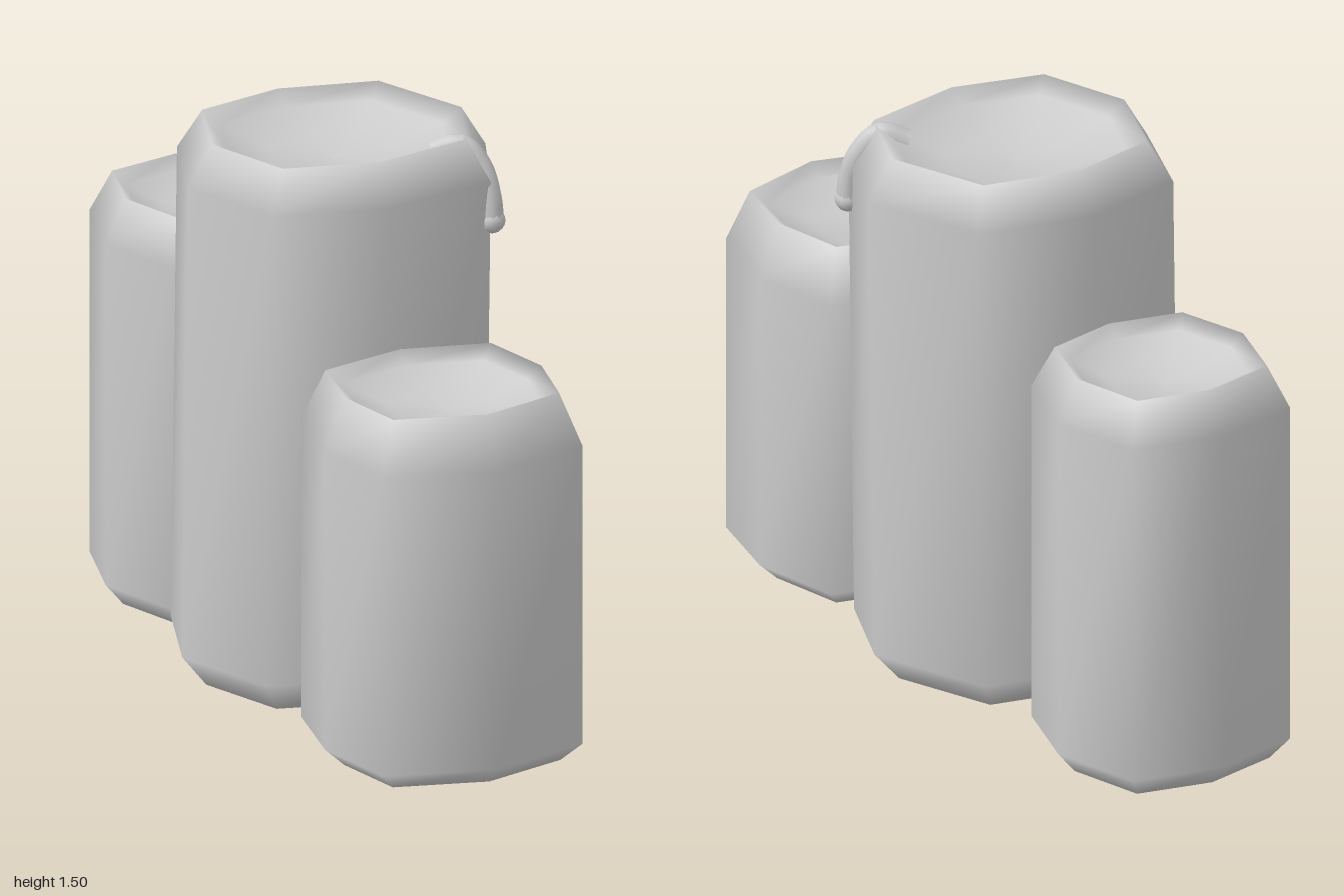
import * as THREE from 'three';

const material = new THREE.MeshStandardMaterial({ color: 0xcccccc });

// Eight-sided wax body lofted from scaled copies of its outline.
// rings: [scale, y], from bottom centre over the shoulder into the hollow top.
function waxBody(name, outline, centre, rings, lean = 0) {
  const n = outline.length, positions = [], index = [];
  const height = Math.max(...rings.map(r => r[1]));
  for (const [scale, y] of rings) {
    for (const [x, z] of outline) {
      positions.push(
        centre[0] + (x - centre[0]) * scale + lean * (y / height - 1),
        y,
        centre[1] + (z - centre[1]) * scale);
    }
  }
  for (let i = 0; i < rings.length - 1; i++) {
    for (let j = 0; j < n; j++) {
      const a = i * n + j, b = i * n + (j + 1) % n;
      index.push(b, a, a + n, b, a + n, b + n);
    }
  }
  const geometry = new THREE.BufferGeometry();
  geometry.setAttribute('position', new THREE.Float32BufferAttribute(positions, 3));
  geometry.setIndex(index);
  geometry.computeVertexNormals();
  const mesh = new THREE.Mesh(geometry, material);
  mesh.name = name;
  return mesh;
}

// Ring heights shared by all candles
function candleRings(bottom, bevel, shoulder, top, baseScale, rimScale, dip) {
  return [
    [0, bottom], [baseScale * 0.6, bottom], [baseScale, bottom],
    [1, bevel], [1, shoulder],
    [rimScale, top], [rimScale - 0.12, top - dip * 0.4],
    [rimScale * 0.5, top - dip * 0.9], [0, top - dip],
  ];
}

export function createModel() {
  const group = new THREE.Group();
  group.name = 'candles';

  group.add(waxBody('backCandle',
    [[-0.02, -1], [0.22, -0.945], [0.29, -0.7], [0.22, -0.465],
      [-0.02, -0.41], [-0.26, -0.465], [-0.335, -0.7], [-0.265, -0.945]],
    [-0.02, -0.705], candleRings(0, 0.06, 1.0, 1.115, 0.84, 0.82, 0.08)));

  group.add(waxBody('tallCandle',
    [[-0.02, -0.39], [0.29, -0.32], [0.42, 0], [0.31, 0.265],
      [-0.02, 0.335], [-0.31, 0.26], [-0.415, -0.03], [-0.31, -0.32]],
    [-0.01, -0.02], candleRings(0.015, 0.1, 1.39, 1.5, 0.83, 0.84, 0.09), 0.02));

  group.add(waxBody('frontCandle',
    [[-0.02, 0.355], [0.26, 0.425], [0.315, 0.675], [0.26, 0.92],
      [-0.02, 1], [-0.31, 0.92], [-0.36, 0.675], [-0.31, 0.425]],
    [-0.02, 0.678], candleRings(0.02, 0.07, 0.89, 1.03, 0.84, 0.83, 0.08)));

  // Wax drip running over the rim of the tall candle
  const path = new THREE.CatmullRomCurve3([
    [0.2, 1.45, 0.15], [0.26, 1.472, 0.19], [0.3, 1.42, 0.22],
    [0.315, 1.34, 0.245], [0.318, 1.28, 0.252],
  ].map(p => new THREE.Vector3(...p)));
  const drip = new THREE.Group();
  drip.name = 'waxDrip';
  const run = new THREE.Mesh(new THREE.TubeGeometry(path, 16, 0.032, 10), material);
  run.name = 'dripRun';
  const tip = new THREE.Mesh(new THREE.SphereGeometry(0.035, 12, 10), material);
  tip.name = 'dripTip';
  tip.position.copy(path.getPoint(1));
  drip.add(run, tip);
  group.add(drip);

  return group;
}
